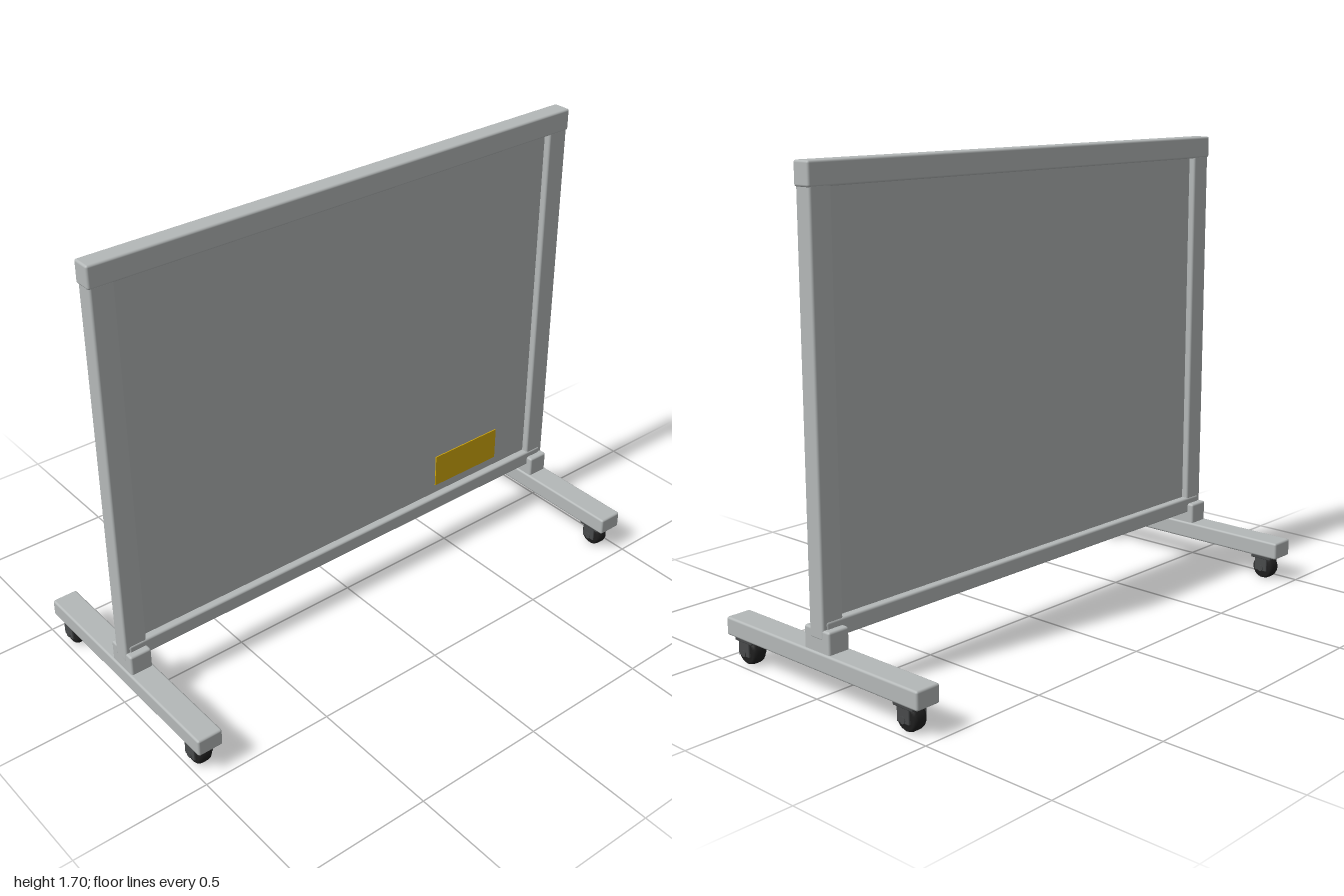
import * as THREE from 'three';
import { RoundedBoxGeometry } from 'three/addons/geometries/RoundedBoxGeometry.js';

const flat = (name, color) => {
  const m = new THREE.MeshStandardMaterial({ color });
  m.name = name;
  return m;
};

export function createModel() {
  const aluminium = flat('aluminium', 0xb4b8b8);
  const board = flat('board grey', 0xb0b3b4);
  const rubber = flat('black rubber', 0x1e1e1e);
  const steel = flat('dark steel', 0x484a4b);
  const yellow = flat('label yellow', 0xd2a80a);

  const group = new THREE.Group();
  group.name = 'mobileScreen';

  const add = (parent, name, geometry, material, x, y, z) => {
    const mesh = new THREE.Mesh(geometry, material);
    mesh.name = name;
    mesh.position.set(x, y, z);
    parent.add(mesh);
    return mesh;
  };
  const bar = (w, h, d, r = 0.008) => new RoundedBoxGeometry(w, h, d, 2, r);

  // Screen panel, frame rails and label
  add(group, 'panel', new THREE.BoxGeometry(1.84, 1.4, 0.016), board, 0, 0.94, 0);
  add(group, 'topRail', bar(2, 0.08, 0.07), aluminium, 0, 1.66, 0);
  add(group, 'bottomRail', bar(1.96, 0.06, 0.072), aluminium, 0, 0.23, 0);
  add(group, 'label', new THREE.BoxGeometry(0.315, 0.13, 0.004), yellow, 0.588, 0.36, 0.01);

  // Wheel outline with softened tread edges, turned about its axle
  const tread = [[0, -0.027], [0.036, -0.027], [0.042, -0.021], [0.045, -0.012],
    [0.045, 0.012], [0.042, 0.021], [0.036, 0.027], [0, 0.027]];
  const wheel = new THREE.LatheGeometry(tread.map(([r, h]) => new THREE.Vector2(r, h)), 28);
  wheel.rotateZ(Math.PI / 2);
  const axle = new THREE.CylinderGeometry(0.012, 0.012, 0.082, 14).rotateZ(Math.PI / 2);

  // Swivel caster: mounting plate, fork and wheel
  const makeCaster = () => {
    const caster = new THREE.Group();
    caster.name = 'caster';
    add(caster, 'mountingPlate', bar(0.078, 0.016, 0.088, 0.004), steel, 0, 0.09, 0);
    for (const s of [-1, 1]) {
      add(caster, 'forkArm', bar(0.008, 0.06, 0.054, 0.003), steel, s * 0.034, 0.064, 0);
    }
    add(caster, 'wheel', wheel, rubber, 0, 0.045, 0);
    add(caster, 'axle', axle, steel, 0, 0.045, 0);
    return caster;
  };

  // Upright, socket, foot and two casters on each side
  for (const s of [-1, 1]) {
    const side = new THREE.Group();
    side.name = s > 0 ? 'leftStand' : 'rightStand';
    side.position.x = s * 0.952;
    add(side, 'post', bar(0.085, 1.43, 0.066), aluminium, 0, 0.915, 0);
    add(side, 'socket', bar(0.083, 0.09, 0.122), aluminium, 0, 0.191, 0);
    add(side, 'foot', bar(0.096, 0.065, 0.93), aluminium, 0, 0.1275, 0);
    for (const z of [-0.39, 0.39]) {
      const caster = makeCaster();
      caster.position.z = z;
      side.add(caster);
    }
    group.add(side);
  }
  return group;
}
